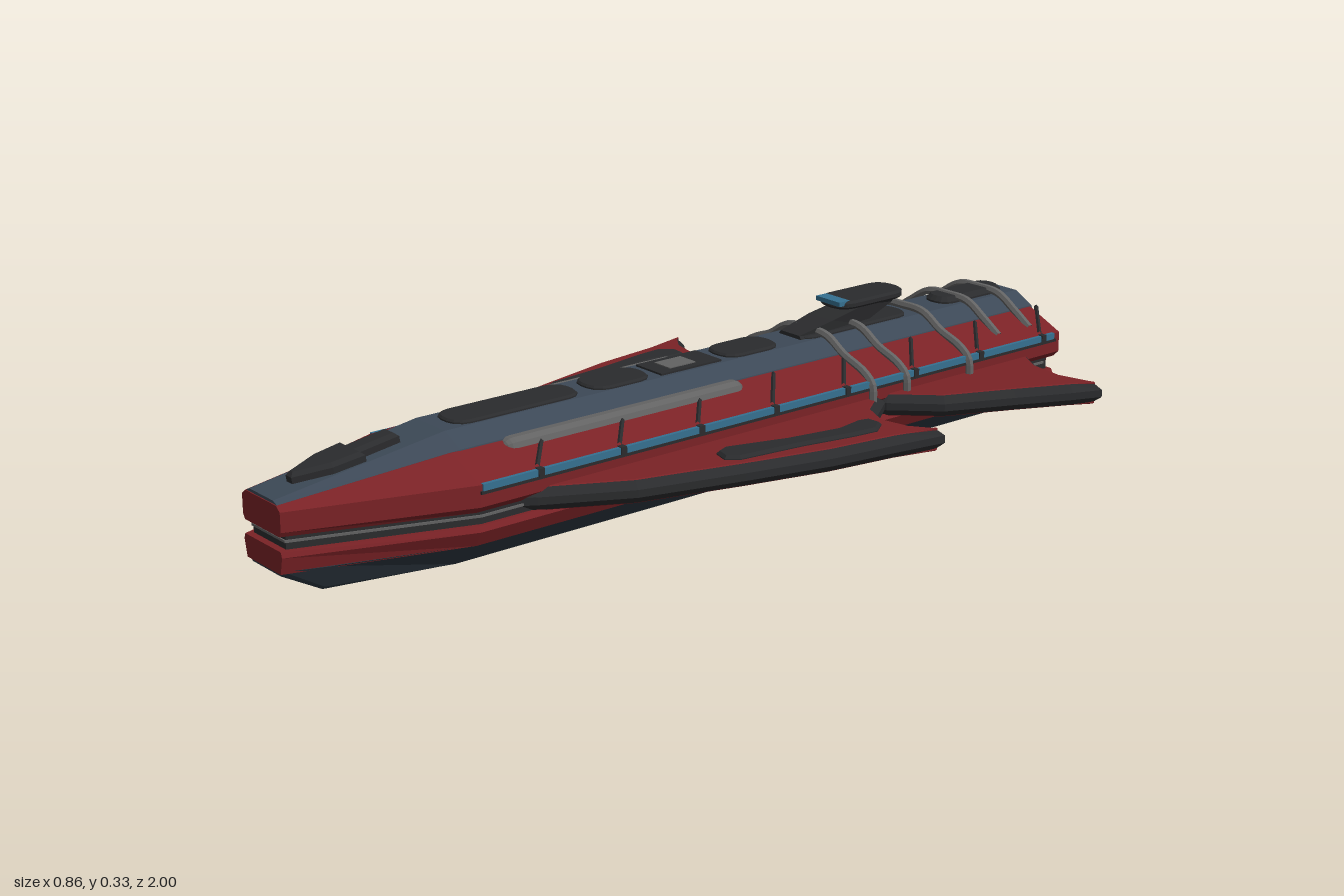
import * as THREE from 'three';

const mat = (color) => new THREE.MeshStandardMaterial({ color, flatShading: true, side: THREE.DoubleSide });
const RED = mat(0x7a2226), SLATE = mat(0x3c4856), HULL = mat(0x2d3741), DARK = mat(0x2a2b2d),
  GREY = mat(0x626262), BLUE = mat(0x357090);

export function createModel() {
  const ship = new THREE.Group();
  ship.name = 'ship';

  const add = (name, geometry, material, x = 0, y = 0, z = 0) => {
    const m = new THREE.Mesh(geometry, material);
    m.name = name;
    m.position.set(x, y, z);
    ship.add(m);
    return m;
  };

  // Loft of mirrored half sections; stations run back to front, points bottom to top
  const loft = (name, material, stations) => {
    const rings = stations.map(([z, ...half]) => [
      ...half.map(([x, y]) => [x, y, z]),
      ...half.slice().reverse().map(([x, y]) => [-x, y, z]),
    ]);
    const pos = [], n = rings[0].length, last = rings[rings.length - 1];
    const tri = (a, b, c) => pos.push(...a, ...b, ...c);
    for (let i = 0; i < rings.length - 1; i++) {
      for (let j = 0; j < n; j++) {
        const k = (j + 1) % n;
        tri(rings[i][j], rings[i][k], rings[i + 1][k]);
        tri(rings[i][j], rings[i + 1][k], rings[i + 1][j]);
      }
    }
    for (let j = 1; j < n - 1; j++) {
      tri(last[0], last[j], last[j + 1]);
      tri(rings[0][0], rings[0][j + 1], rings[0][j]);
    }
    const g = new THREE.BufferGeometry();
    g.setAttribute('position', new THREE.Float32BufferAttribute(pos, 3));
    g.computeVertexNormals();
    return add(name, g, material);
  };

  // Flat bevelled slab from an outline in x and z
  const slab = (name, material, pts, top, thick, bevel) => {
    const shape = new THREE.Shape(pts.map(([x, z]) => new THREE.Vector2(x, z)));
    const g = new THREE.ExtrudeGeometry(shape, {
      depth: thick - 2 * bevel, bevelThickness: bevel, bevelSize: bevel, bevelOffset: -bevel, bevelSegments: 1,
    });
    g.rotateX(Math.PI / 2);
    return add(name, g, material, 0, top - bevel, 0);
  };

  // Rounded oblong outline between two z values
  const oblong = (z0, z1, w) => {
    const pts = [], r = Math.min(w, (z1 - z0) / 2) * 0.8;
    for (let q = 0; q < 4; q++) {
      const sx = q === 0 || q === 3 ? 1 : -1, sz = q < 2 ? 1 : -1;
      for (let i = 0; i <= 3; i++) {
        const a = (q + i / 3) * Math.PI / 2;
        pts.push([sx * (w - r) + r * Math.cos(a), (z0 + z1) / 2 + sz * ((z1 - z0) / 2 - r) + r * Math.sin(a)]);
      }
    }
    return pts;
  };

  // Move an outline inward by d
  const inset = (pts, d) => {
    const n = pts.length;
    const area = pts.reduce((s, p, i) => s + p[0] * pts[(i + 1) % n][1] - pts[(i + 1) % n][0] * p[1], 0);
    return pts.map((p, i) => {
      const a = pts[(i + n - 1) % n], b = pts[(i + 1) % n];
      const t = new THREE.Vector2(p[0] - a[0], p[1] - a[1]).normalize()
        .add(new THREE.Vector2(b[0] - p[0], b[1] - p[1]).normalize()).normalize().multiplyScalar(d * Math.sign(area));
      return [p[0] - t.y, p[1] + t.x];
    });
  };

  // Main hull layers
  const keel = [[0.08, 0], [0.1, 0.008], [0.175, 0.07]];
  loft('keel', HULL, [[-0.93, ...keel], [0.64, ...keel],
    [0.91, [0.055, 0.012], [0.065, 0.02], [0.093, 0.07]], [0.995, [0.05, 0.058], [0.055, 0.062], [0.062, 0.07]]]);
  const band = [[0.175, 0.068], [0.192, 0.1], [0.186, 0.111]];
  loft('lowerBand', RED, [[-0.94, ...band], [0.64, ...band], [1, [0.06, 0.065], [0.068, 0.1], [0.064, 0.111]]]);
  const core = [[0.178, 0.105], [0.178, 0.142]];
  loft('core', DARK, [[-0.93, ...core], [0.63, ...core], [0.985, [0.058, 0.105], [0.058, 0.142]]]);
  const trim = [[0.181, 0.125], [0.181, 0.13]];
  loft('coreTrim', GREY, [[-0.92, ...trim], [0.63, ...trim], [0.988, [0.06, 0.125], [0.06, 0.13]]]);
  const upper = [[0.178, 0.136], [0.192, 0.15], [0.192, 0.195], [0.1, 0.235]];
  loft('upperHull', RED, [[-0.955, ...upper], [0.64, ...upper],
    [1, [0.062, 0.14], [0.068, 0.15], [0.068, 0.19], [0.056, 0.2]]]);
  const ridge = [[0.11, 0.2], [0.1, 0.237], [0.05, 0.262]];
  loft('ridge', SLATE, [[-0.96, ...ridge], [0.62, ...ridge],
    [0.998, [0.058, 0.18], [0.056, 0.2], [0.042, 0.206]]]);

  // Dark panels along the spine
  [[0.28, 0.59, 0.045], [0.1, 0.25, 0.047], [-0.25, -0.1, 0.047], [-0.63, -0.31, 0.045]].forEach(([a, b, w]) =>
    slab('spinePanel', DARK, oblong(a, b, w), 0.269, 0.03, 0.004));
  add('spineHatch', new THREE.BoxGeometry(0.085, 0.012, 0.16), DARK, 0, 0.26, 0);
  add('hatchStep', new THREE.BoxGeometry(0.05, 0.012, 0.07), GREY, 0, 0.262, 0.01);
  slab('rearSpinePod', DARK, oblong(-0.94, -0.74, 0.038), 0.276, 0.04, 0.01);

  // Bridge: sloping neck with an overhanging top plate
  loft('bridgeNeck', DARK, [
    [-0.59, [0.022, 0.295], [0.035, 0.312]], [-0.5, [0.025, 0.26], [0.035, 0.308]],
    [-0.4, [0.035, 0.255], [0.038, 0.29]], [-0.31, [0.04, 0.255], [0.03, 0.27]]]);
  slab('bridgePlate', DARK, oblong(-0.62, -0.42, 0.047), 0.325, 0.018, 0.005);
  add('bridgeWindow', new THREE.BoxGeometry(0.075, 0.01, 0.03), BLUE, 0, 0.321, -0.434);

  // Dart lying on the sloping nose
  const dart = slab('noseDart', DARK, [[0.022, -0.12], [0.022, -0.03], [0.042, -0.03], [0.038, 0.04], [0.01, 0.115],
    [-0.01, 0.115], [-0.038, 0.04], [-0.042, -0.03], [-0.022, -0.03], [-0.022, -0.12]], 0, 0.035, 0.008);
  dart.position.set(0, 0.245, 0.825);
  dart.rotation.x = 0.15;

  // Wings: dark bevelled edge plate with red skins above and below
  const frontWing = [[0.15, 0.58], [0.195, 0.51], [0.285, 0.335], [0.345, 0.11], [0.39, -0.08], [0.412, -0.24],
    [0.43, -0.355], [0.405, -0.348], [0.365, -0.32], [0.31, -0.308], [0.25, -0.335], [0.195, -0.41], [0.15, -0.42]];
  const rearWing = [[0.15, -0.39], [0.2, -0.41], [0.285, -0.5], [0.35, -0.65], [0.405, -0.77], [0.43, -0.835],
    [0.4, -0.838], [0.33, -0.82], [0.255, -0.83], [0.195, -0.865], [0.15, -0.87]];
  const wingPod = [[0.3, -0.262], [0.335, -0.265], [0.36, -0.23], [0.354, -0.17], [0.332, -0.05], [0.315, 0.1],
    [0.295, 0.125], [0.258, 0.115], [0.246, 0.085], [0.285, -0.05], [0.305, -0.17], [0.293, -0.235]];

  for (const s of [1, -1]) {
    const flip = (pts) => pts.map(([x, z]) => [s * x, z]);
    const side = s > 0 ? 'left' : 'right';
    [['FrontWing', frontWing], ['RearWing', rearWing]].forEach(([n, pts]) => {
      slab(side + n + 'Edge', DARK, flip(pts), 0.156, 0.046, 0.015);
      slab(side + n + 'Skin', RED, flip(inset(pts, 0.016)), 0.158, 0.05, 0.002);
    });
    slab(side + 'WingPod', DARK, flip(wingPod), 0.166, 0.02, 0.006);

    // Light strips with dark clamps on the upper edge
    add(side + 'LightStrip', new THREE.BoxGeometry(0.016, 0.014, 1.57), BLUE, s * 0.188, 0.19, -0.15);
    add(side + 'StripRail', new THREE.BoxGeometry(0.008, 0.006, 1.58), DARK, s * 0.193, 0.18, -0.15);
    for (let i = 0; i < 8; i++) {
      const z = 0.5 - i * 0.2;
      add(side + 'StripClamp', new THREE.BoxGeometry(0.02, 0.017, 0.014), DARK, s * 0.188, 0.19, z);
      // Slanted seams across the deck
      const seam = new THREE.LineCurve3(new THREE.Vector3(s * 0.182, 0.2, z), new THREE.Vector3(s * 0.105, 0.233, z - 0.07));
      add(side + 'DeckSeam', new THREE.TubeGeometry(seam, 1, 0.005, 4), DARK);
    }

    // Long blister beside the ridge
    add(side + 'Blister', new THREE.CapsuleGeometry(0.024, 0.56, 4, 10).rotateX(Math.PI / 2), GREY, s * 0.105, 0.222, 0.225)
      .scale.y = 0.8;
  }

  // Pipes over the hull
  const pipe = (z, slant, half) => {
    const pts = [...half.map(([x, y]) => [x, y]), [0, 0.272], ...half.slice().reverse().map(([x, y]) => [-x, y])];
    const curve = new THREE.CatmullRomCurve3(pts.map(([x, y]) => new THREE.Vector3(x, y, z - slant * x)));
    add('hullPipe', new THREE.TubeGeometry(curve, 40, 0.009, 6), GREY);
  };
  const wide = [[0.2, 0.15], [0.196, 0.19], [0.17, 0.213], [0.112, 0.237], [0.06, 0.268]];
  [-0.36, -0.46, -0.65].forEach((z) => pipe(z, 0.05, wide));
  [-0.79, -0.89].forEach((z) => pipe(z, 0.03, [[0.155, 0.208], [0.112, 0.237], [0.06, 0.268]]));

  // Engines: open nozzle with a glowing disc
  [[0, 0.052, -1], [0.095, 0.036, -0.985], [-0.095, 0.036, -0.985]].forEach(([x, r, z]) => {
    const profile = [[r * 0.9, 0.12], [r * 0.9, 0.05], [r, 0.045], [r, 0], [r * 0.65, 0], [r * 0.55, 0.03]]
      .map(([a, b]) => new THREE.Vector2(a, b));
    add('engineNozzle', new THREE.LatheGeometry(profile, 16).rotateX(Math.PI / 2), RED, x, 0.118, z);
    add('engineGlow', new THREE.CircleGeometry(r * 0.6, 16).rotateY(Math.PI), BLUE, x, 0.118, z + 0.025);
  });

  return ship;
}
